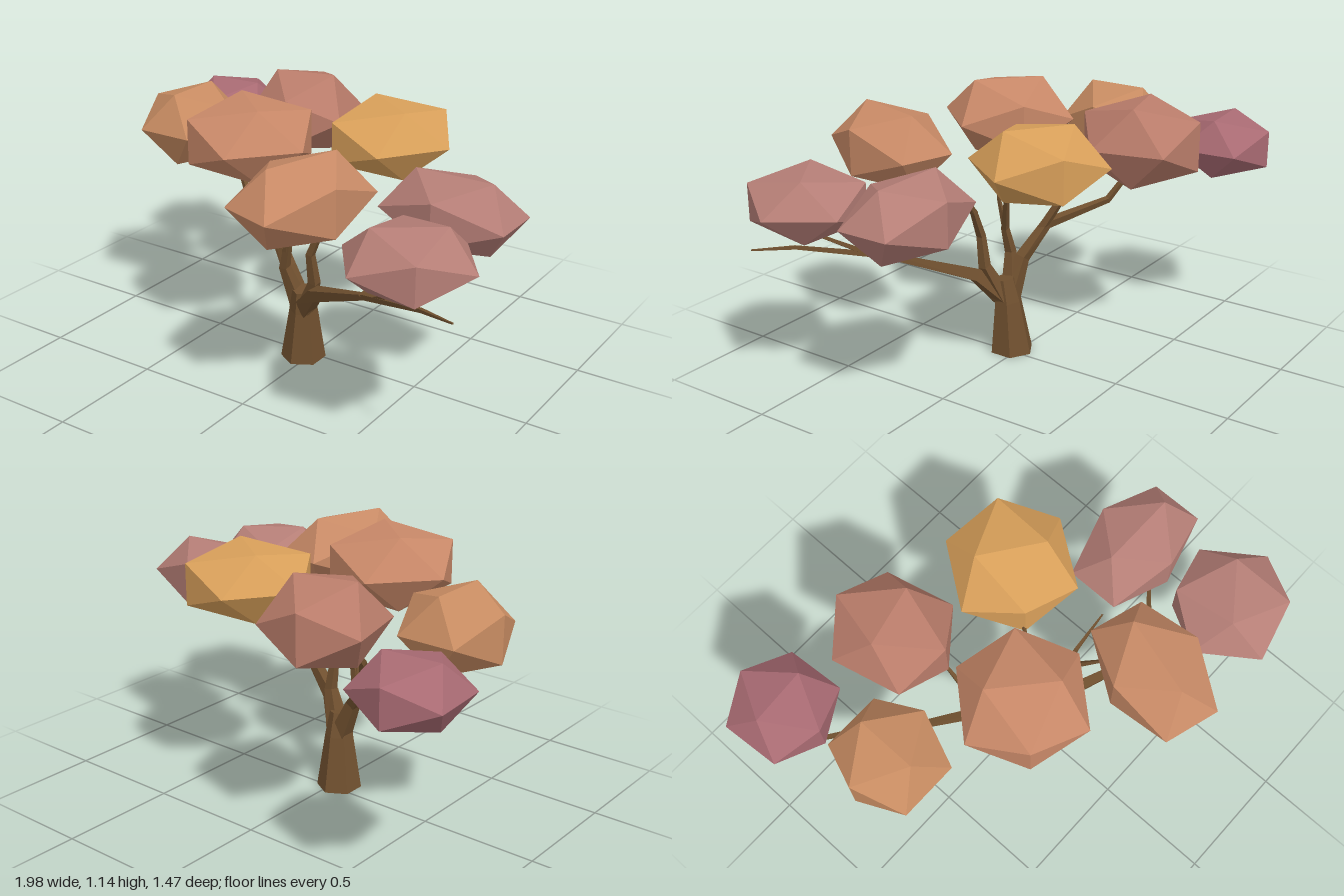
import * as THREE from 'three';

const flat = (color) => new THREE.MeshStandardMaterial({ color, flatShading: true });

// Faceted limb lofted through [x, y, z, radius] points
function limb(points, sides, material, name) {
  const pos = [], index = [];
  const centres = points.map((p) => new THREE.Vector3(p[0], p[1], p[2]));
  const ref = new THREE.Vector3(0, 0, 1);
  const last = points.length - 1;
  centres.forEach((c, i) => {
    const t = centres[Math.min(i + 1, last)].clone().sub(centres[Math.max(i - 1, 0)]).normalize();
    if (i === 0 && c.y === 0) t.set(0, 1, 0);
    const u = ref.clone().cross(t).normalize();
    const v = t.clone().cross(u);
    for (let j = 0; j < sides; j++) {
      const a = ((j + 0.5) / sides) * Math.PI * 2;
      const p = c.clone()
        .addScaledVector(u, Math.cos(a) * points[i][3])
        .addScaledVector(v, Math.sin(a) * points[i][3]);
      pos.push(p.x, p.y, p.z);
    }
  });
  for (let i = 0; i < last; i++) {
    for (let j = 0; j < sides; j++) {
      const k = (j + 1) % sides;
      const a = i * sides + j, b = i * sides + k;
      index.push(a, b, b + sides, a, b + sides, a + sides);
    }
  }
  // End caps
  const top = last * sides;
  for (let j = 1; j < sides - 1; j++) {
    index.push(0, j + 1, j, top, top + j, top + j + 1);
  }
  const geo = new THREE.BufferGeometry();
  geo.setAttribute('position', new THREE.Float32BufferAttribute(pos, 3));
  geo.setIndex(index);
  geo.computeVertexNormals();
  const mesh = new THREE.Mesh(geo, material);
  mesh.name = name;
  return mesh;
}

export function createModel() {
  const tree = new THREE.Group();
  tree.name = 'tree';
  const bark = flat(0x70502f);

  // Trunk
  tree.add(limb([
    [-0.025, 0, 0.033, 0.095],
    [-0.015, 0.23, 0.045, 0.06],
    [-0.01, 0.33, 0.06, 0.045],
  ], 6, bark, 'trunk'));

  // Main branches and their forks
  const branches = {
    leftBranch: [[-0.02, 0.23, 0.045, 0.05], [-0.1, 0.4, 0.03, 0.032], [-0.21, 0.53, -0.02, 0.025],
      [-0.46, 0.595, -0.17, 0.016], [-0.54, 0.7, -0.22, 0.014], [-0.8, 0.74, -0.39, 0.01]],
    leftForkBranch: [[-0.52, 0.69, -0.21, 0.014], [-0.67, 0.78, -0.12, 0.006]],
    backLeftBranch: [[-0.19, 0.51, -0.01, 0.022], [-0.235, 0.65, -0.08, 0.017], [-0.24, 0.82, -0.23, 0.006]],
    middleBranch: [[-0.04, 0.27, 0.05, 0.04], [-0.085, 0.42, 0.08, 0.025], [-0.06, 0.53, 0.09, 0.018],
      [0, 0.7, 0.04, 0.011], [0.06, 0.9, -0.06, 0.008]],
    middleForkBranch: [[-0.075, 0.47, 0.085, 0.018], [-0.05, 0.66, 0.115, 0.008], [-0.06, 0.88, 0.12, 0.005]],
    rightUpBranch: [[0.01, 0.25, 0.06, 0.045], [0.075, 0.4, 0.1, 0.027], [0.07, 0.53, 0.12, 0.02],
      [0.12, 0.65, 0.12, 0.016], [0.2, 0.83, 0.27, 0.005]],
    rightTwig: [[0.11, 0.64, 0.12, 0.014], [0.18, 0.73, 0.12, 0.01], [0.33, 0.82, 0.12, 0.004]],
    rightLongBranch: [[0, 0.25, 0.06, 0.05], [0.1, 0.365, 0.13, 0.036], [0.45, 0.525, 0.315, 0.016],
      [0.78, 0.63, 0.48, 0.01], [0.94, 0.655, 0.55, 0.004]],
    rightForkBranch: [[0.43, 0.515, 0.31, 0.016], [0.58, 0.75, 0.16, 0.008]],
    rightFrontForkBranch: [[0.51, 0.545, 0.345, 0.014], [0.77, 0.71, 0.48, 0.006]],
  };
  for (const [name, points] of Object.entries(branches)) {
    tree.add(limb(points, 4, bark, name));
  }

  // Foliage clumps: centre, half extents along own axes, turn about y, colour
  const clumps = [
    [[-0.795, 0.83, -0.54], [0.194, 0.125, 0.2], 0.08, 0xa86a72],
    [[-0.31, 0.935, -0.405], [0.21, 0.165, 0.24], 0.24, 0xb97c6a],
    [[0.205, 0.95, -0.255], [0.232, 0.14, 0.252], -0.62, 0xd9a05a],
    [[-0.67, 0.895, -0.08], [0.205, 0.155, 0.2], Math.PI / 2, 0xc88c62],
    [[-0.19, 0.99, 0.16], [0.235, 0.15, 0.25], -0.72, 0xc88868],
    [[0.25, 0.915, 0.44], [0.265, 0.155, 0.19], 1.28, 0xc88a66],
    [[0.65, 0.815, 0.02], [0.265, 0.145, 0.18], 0, 0xb57e76],
    [[0.715, 0.8, 0.465], [0.226, 0.125, 0.225], 0.62, 0xb57e76],
  ];
  clumps.forEach(([centre, half, turn, color], i) => {
    const clump = new THREE.Mesh(new THREE.IcosahedronGeometry(1 / 0.8507, 0), flat(color));
    clump.name = `foliage${i + 1}`;
    clump.position.set(...centre);
    clump.scale.set(...half);
    clump.rotation.y = turn;
    tree.add(clump);
  });

  return tree;
}
